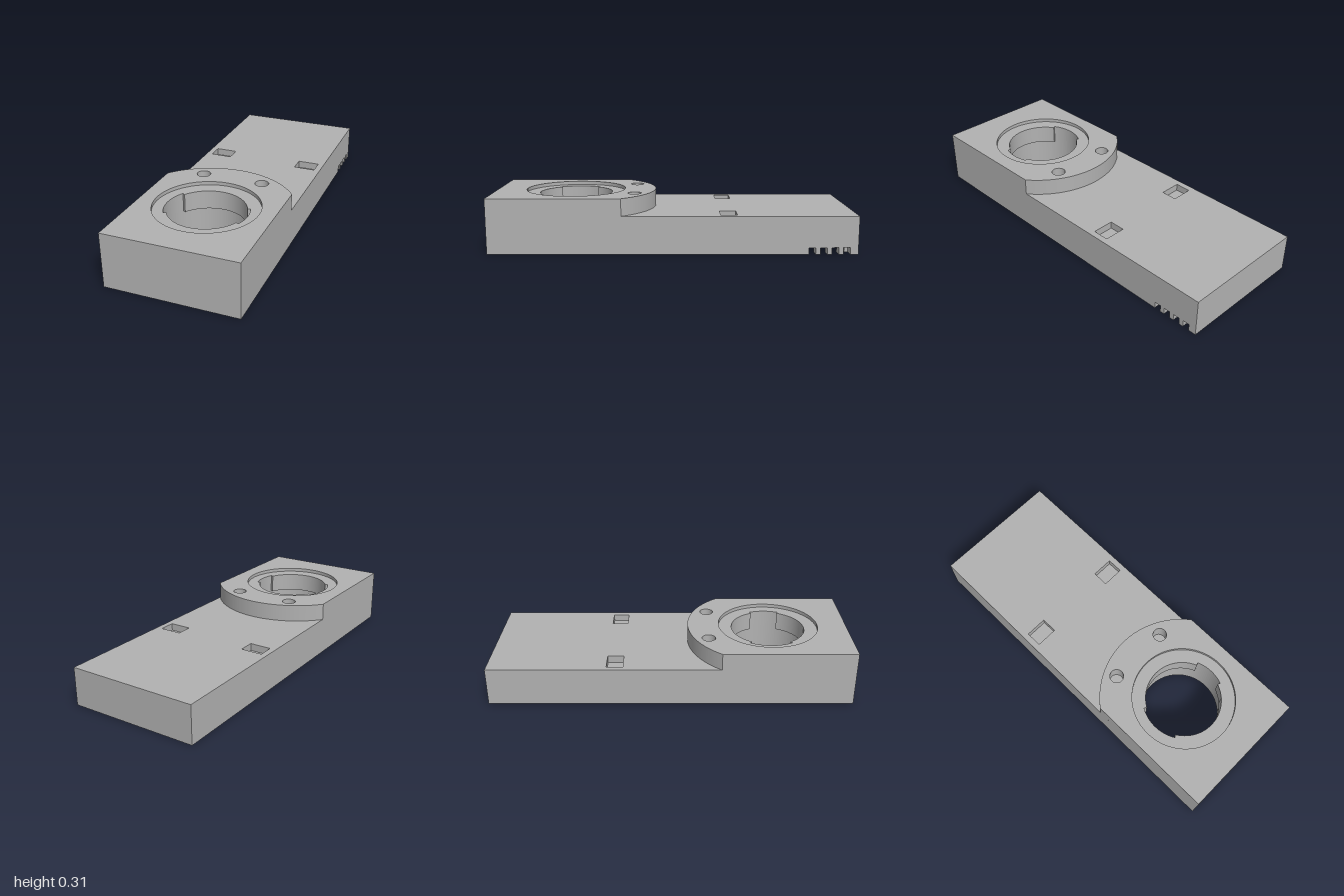
import * as THREE from 'three';

const W = 0.365, WALL = 0.062, CEIL = 0.08, DECK = 0.21, LEDGE = 0.285, TOP = 0.305;
const CZ = 0.555, BORE = 0.2235, LIP = 0.2075, RECESS = 0.2825;

export function createModel() {
  const group = new THREE.Group();
  const grey = new THREE.MeshStandardMaterial({ color: 0xb2b2b2 });
  grey.name = 'grey plastic';

  const add = (name, geometry) => {
    const mesh = new THREE.Mesh(geometry, grey);
    mesh.name = name;
    group.add(mesh);
  };
  // Plan shapes are drawn in x and z, then extruded between two heights
  const layer = (name, shape, y0, y1, holes = []) => {
    shape.holes.push(...holes);
    const g = new THREE.ExtrudeGeometry(shape, { depth: y1 - y0, bevelEnabled: false, curveSegments: 64 });
    add(name, g.rotateX(Math.PI / 2).translate(0, y1, 0));
  };
  const poly = (pts) => new THREE.Shape(pts.map(([a, b]) => new THREE.Vector2(a, b)));
  const rect = (x, z, w, d) => poly([
    [x - w / 2, z - d / 2], [x + w / 2, z - d / 2], [x + w / 2, z + d / 2], [x - w / 2, z + d / 2]]);
  const circle = (x, z, r) => new THREE.Shape().absarc(x, z, r, 0, Math.PI * 2, false);
  const box = (name, w, h, d, x, y, z) => add(name, new THREE.BoxGeometry(w, h, d).translate(x, y, z));

  // Skirt walls around the hollow underside
  box('plainSideWall', WALL, CEIL, 2, -W + WALL / 2, CEIL / 2, 0);
  for (const s of [-1, 1]) {
    box(s > 0 ? 'frontWall' : 'backWall', 2 * (W - WALL), CEIL, WALL, 0, CEIL / 2, s * (1 - WALL / 2));
  }

  // Side wall with four small slots along its lower edge
  const comb = [[-1, 0]];
  for (let i = 0; i < 4; i++) {
    const z = -0.957 + i * 0.062;
    comb.push([z, 0], [z, 0.038], [z + 0.037, 0.038], [z + 0.037, 0]);
  }
  comb.push([1, 0], [1, CEIL], [-1, CEIL]);
  const slotted = new THREE.ExtrudeGeometry(poly(comb), { depth: WALL, bevelEnabled: false });
  add('slottedSideWall', slotted.rotateY(-Math.PI / 2).translate(W, 0, 0));

  // Main slab, with two blind rectangular pockets in its top
  const pocketFloor = DECK - 0.04;
  layer('slab', rect(0, 0, 2 * W, 2), CEIL, pocketFloor, [circle(0, CZ, BORE)]);
  layer('deck', rect(0, 0, 2 * W, 2), pocketFloor, DECK, [
    circle(0, CZ, BORE),
    ...[-1, 1].map((s) => rect(s * 0.27, -0.305, 0.122, 0.09))]);

  // Raised platform with a rounded back edge, pin holes and a shallow recess
  const platform = () => {
    const a = Math.atan2(-0.28, W);
    return new THREE.Shape().moveTo(-W, 1).lineTo(W, 1).lineTo(W, CZ - 0.28)
      .absarc(0, CZ, 0.46, a, -Math.PI - a, true).lineTo(-W, 1);
  };
  const pinHoles = () => [-1, 1].map((s) => circle(s * 0.172, 0.21, 0.038));
  layer('platform', platform(), DECK, LEDGE, [circle(0, CZ, BORE), ...pinHoles()]);
  layer('platformRim', platform(), LEDGE, TOP, [circle(0, CZ, RECESS), ...pinHoles()]);

  // Inner lip of the bore, broken by a narrow and a wide notch
  const rad = THREE.MathUtils.degToRad;
  for (const [name, a, b] of [['frontLip', 22, 149], ['backLip', -149, -22]]) {
    const sector = new THREE.Shape()
      .absarc(0, CZ, BORE, rad(a), rad(b), false)
      .absarc(0, CZ, LIP, rad(b), rad(a), true);
    layer(name, sector, 0.18, LEDGE);
  }

  // Tube around the bore, reaching down to the base
  layer('boreTube', circle(0, CZ, 0.285), 0, CEIL, [circle(0, CZ, BORE)]);

  return group;
}
